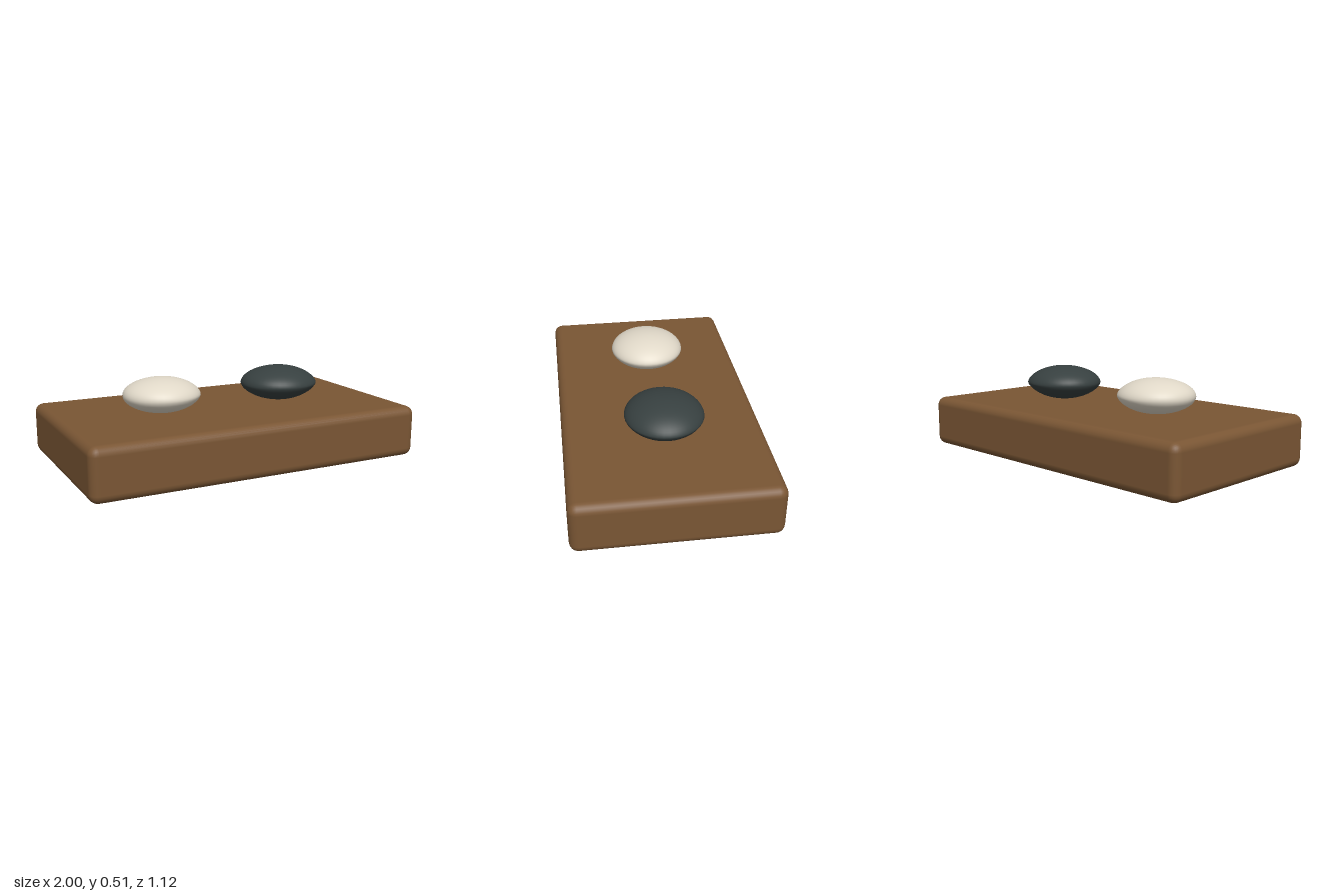
import * as THREE from 'three';
import { mergeVertices } from 'three/addons/utils/BufferGeometryUtils.js';
import { RoundedBoxGeometry } from 'three/addons/geometries/RoundedBoxGeometry.js';

function material(name, color) {
  const m = new THREE.MeshStandardMaterial({ color });
  m.name = name;
  return m;
}

// Lens-shaped pebble: a sphere flattened towards its rim, sharper on the +x side
function stoneGeometry(rx, h, rz, sharpTop, sharpBottom) {
  let geo = new THREE.SphereGeometry(1, 40, 28);
  geo.deleteAttribute('uv');
  geo.deleteAttribute('normal');
  geo = mergeVertices(geo);
  const pos = geo.attributes.position;
  for (let i = 0; i < pos.count; i++) {
    const x = pos.getX(i), y = pos.getY(i), z = pos.getZ(i);
    const power = (y > 0 ? sharpTop : sharpBottom) + 0.1 * x;
    pos.setXYZ(i, x * rx, Math.sign(y) * h * Math.pow(Math.abs(y), power), z * rz);
  }
  geo.computeVertexNormals();
  return geo;
}

export function createModel() {
  const group = new THREE.Group();
  const add = (name, geo, mat, x, y, z) => {
    const mesh = new THREE.Mesh(geo, mat);
    mesh.name = name;
    mesh.position.set(x, y, z);
    group.add(mesh);
  };

  // Wooden block with softened edges
  add('board', new RoundedBoxGeometry(2, 0.3, 1.12, 3, 0.05), material('brown wood', 0x7a5634), 0, 0.15, 0);

  // Two smooth stones resting on the board
  add('lightStone', stoneGeometry(0.226, 0.1, 0.218, 1.1, 1.15), material('ivory', 0xe0d8c8), -0.389, 0.4, -0.007);
  add('darkStone', stoneGeometry(0.235, 0.103, 0.221, 1.15, 1.3), material('charcoal', 0x374040), 0.385, 0.404, -0.006);

  return group;
}
